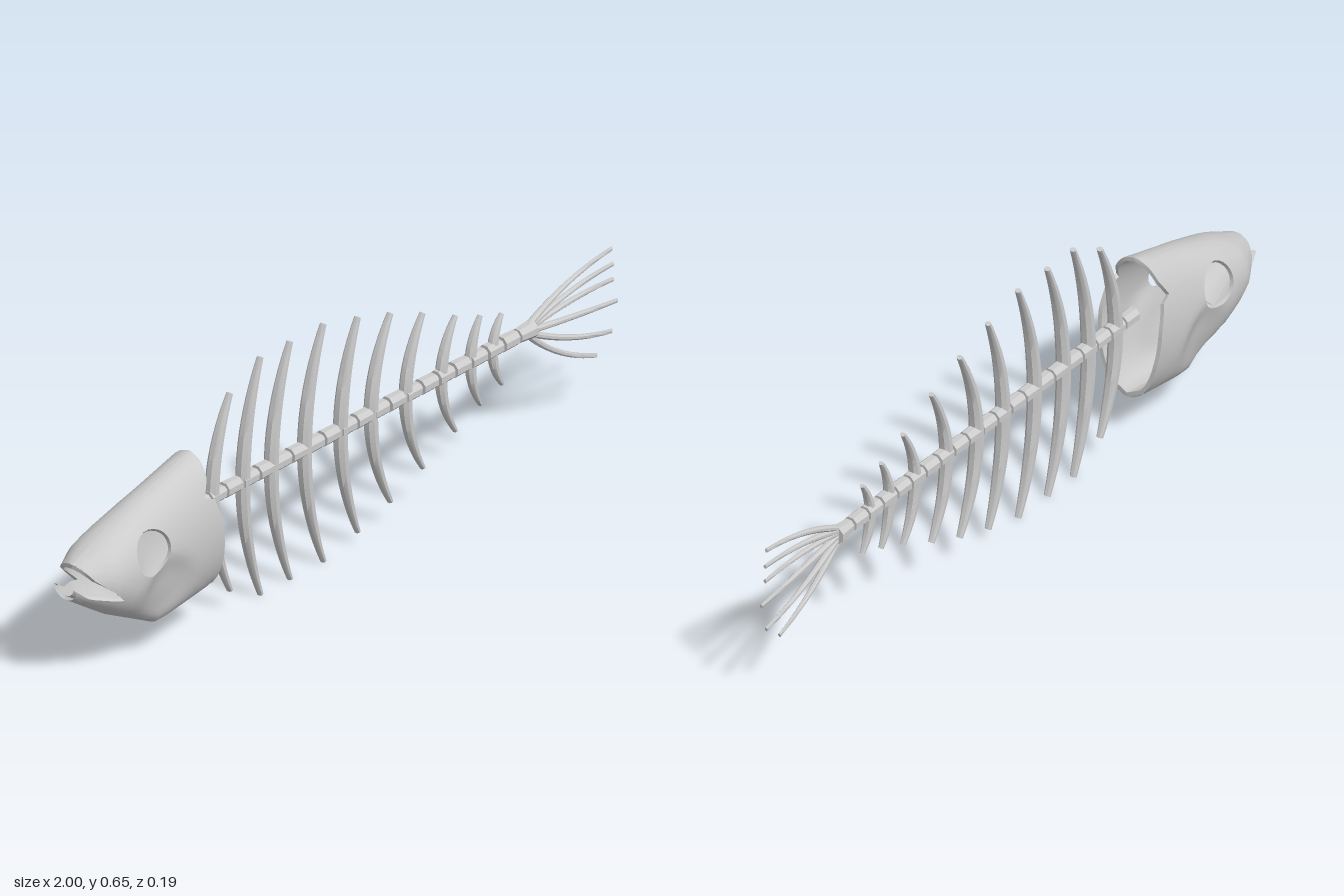
import * as THREE from 'three';
import { toCreasedNormals } from 'three/addons/utils/BufferGeometryUtils.js';

const bone = new THREE.MeshStandardMaterial({ color: 0xcccccc, side: THREE.DoubleSide });
const SPINE_Y = 0.342;

// Surface from a (rows x cols) grid of points given by a rule
function gridSurface(rows, cols, point, crease = 0.7) {
  const pos = [], index = [];
  for (let i = 0; i <= rows; i++) for (let j = 0; j <= cols; j++) pos.push(...point(i, j));
  for (let i = 0; i < rows; i++) for (let j = 0; j < cols; j++) {
    const a = i * (cols + 1) + j, b = a + cols + 1;
    index.push(a, a + 1, b + 1, a, b + 1, b);
  }
  const g = new THREE.BufferGeometry();
  g.setAttribute('position', new THREE.Float32BufferAttribute(pos, 3));
  g.setIndex(index);
  return toCreasedNormals(g, crease);
}

function part(name, geometry, parent) {
  const mesh = new THREE.Mesh(geometry, bone);
  mesh.name = name;
  parent.add(mesh);
  return mesh;
}

// Linear interpolation along a polyline of [x, value]
function along(line, x) {
  let k = 0;
  while (k < line.length - 2 && x > line[k + 1][0]) k++;
  const [a, b] = [line[k], line[k + 1]];
  return a[1] + (b[1] - a[1]) * (x - a[0]) / (b[0] - a[0]);
}

// Tapered bone swept along a flat curve, capped at both ends
function sweptBone(curve, n, width, depth) {
  const sides = 8;
  return gridSurface(n + 2, sides, (i, j) => {
    const t = THREE.MathUtils.clamp((i - 1) / n, 0, 1);
    const p = curve.getPoint(t), d = curve.getTangent(t);
    const s = i === 0 || i === n + 2 ? 0 : 1;
    const a = ((j % sides) + 0.5) / sides * Math.PI * 2;
    const w = width(t) * Math.cos(a) * s, z = depth(t) * Math.sin(a) * s;
    return [p.x - d.y * w, p.y + d.x * w, z];
  });
}

// Skull: crown line, belly line and half width along x
const crown = [[-1, 0.342], [-0.97, 0.355], [-0.87, 0.40], [-0.74, 0.445], [-0.545, 0.50], [-0.5, 0.513]];
const belly = [[-0.995, 0.27], [-0.87, 0.185], [-0.7, 0.095], [-0.513, 0.12]];
const girth = [[-1, 0.035], [-0.96, 0.055], [-0.9, 0.086], [-0.83, 0.095], [-0.5, 0.095]];
const WALL = 0.011;

// Put a side-view point onto the outer or inner skull wall
function skullPoint(x, y, inner, side) {
  const top = along(crown, x), low = along(belly, x), w = along(girth, x);
  const mid = (top + low) / 2, half = (top - low) / 2;
  const s = (y - mid) / half;
  let z = w * Math.pow(Math.max(0, 1 - s * s), 0.47);
  // hollow of the cheek in front of the gill cover
  const dx = (x + 0.715) / 0.075, dy = (y - 0.215) / 0.08;
  z -= Math.min(z * 0.4, 0.02 * Math.exp(-((dx * dx + dy * dy) ** 2)));
  if (inner) {
    y = mid + (y - mid) * (1 - WALL / half);
    z *= 1 - WALL / w;
  }
  return [x, y, z * side];
}

// Double-walled sheet: out along the outer wall, back along the inner one, closed
function skullSheet(rows, cols, at, side) {
  return gridSurface(rows, 2 * cols + 2, (i, j) => {
    const inner = j > cols && j < 2 * cols + 2;
    const c = j <= cols ? j : inner ? 2 * cols + 1 - j : 0;
    const [x, y] = at(i / rows, c / cols);
    return skullPoint(x, y, inner, side);
  });
}

function makeHead() {
  const head = new THREE.Group();
  head.name = 'head';
  // Side outline, star-shaped around the eye socket
  const eye = [-0.77, 0.337], eyeR = 0.058, steps = 5;
  const outline = [
    [-0.97, 0.355], [-0.87, 0.40], [-0.74, 0.445], [-0.545, 0.50], [-0.555, 0.45], [-0.578, 0.41],
    [-0.548, 0.398], [-0.528, 0.33], [-0.516, 0.23], [-0.513, 0.12], [-0.7, 0.095], [-0.87, 0.185],
    [-0.87, 0.245], [-0.90, 0.277], [-0.95, 0.322],
  ];
  const rows = outline.length * steps;
  const skullAt = (u, v) => {
    const k = Math.round(u * rows) % rows, e = Math.floor(k / steps), f = (k % steps) / steps;
    const a = outline[e], b = outline[(e + 1) % outline.length];
    const dx = a[0] + (b[0] - a[0]) * f - eye[0], dy = a[1] + (b[1] - a[1]) * f - eye[1];
    const r = Math.hypot(dx, dy), t = Math.sin(v * Math.PI / 2);
    const m = (eyeR + (r - eyeR) * t) / r;
    return [eye[0] + dx * m, eye[1] + dy * m];
  };
  // Lower jaw jutting out under the mouth
  const lip = [[-0.995, 0.302], [-0.96, 0.272], [-0.87, 0.245]];
  const jawAt = (u, v) => {
    const x = -0.995 + 0.125 * u, a = along(lip, x), b = along(belly, x);
    return [x, a + (b - a) * Math.sin(v * Math.PI / 2)];
  };
  for (const [label, side] of [['left', 1], ['right', -1]]) {
    // the sides of the head lie on +z and -z
    part(label + 'Skull', skullSheet(rows, 12, skullAt, side), head);
    part(label + 'Jaw', skullSheet(8, 8, jawAt, side), head);
  }
  return head;
}

function makeSpine() {
  const spine = new THREE.Group();
  spine.name = 'spine';
  const rod = (name, x0, x1, r0, r1) => {
    const g = new THREE.CylinderGeometry(r1, r0, x1 - x0, 8).rotateY(Math.PI / 8).rotateZ(-Math.PI / 2);
    part(name, toCreasedNormals(g, 0.7), spine).position.set((x0 + x1) / 2, SPINE_Y, 0);
  };
  rod('spinalCord', -0.54, 0.66, 0.013, 0.011);
  const count = 20, pitch = 1.18 / count;
  for (let i = 0; i < count; i++) {
    const x = -0.54 + i * pitch;
    rod('vertebra', x, x + pitch - 0.009, 0.021, 0.02);
  }
  rod('tailVertebra', 0.638, 0.692, 0.019, 0.024);
  return spine;
}

function makeRibs() {
  const ribs = new THREE.Group();
  ribs.name = 'ribs';
  // x at the spine, x at the tips, half height
  const rows = [
    [-0.465, -0.40, 0.27], [-0.353, -0.29, 0.325], [-0.25, -0.183, 0.325], [-0.13, -0.062, 0.325],
    [0, 0.062, 0.294], [0.11, 0.18, 0.258], [0.235, 0.297, 0.212], [0.364, 0.415, 0.158],
    [0.47, 0.505, 0.122], [0.55, 0.583, 0.097],
  ];
  for (const [x, tip, h] of rows) {
    const size = 0.6 + 0.4 * Math.min(1, h / 0.27);
    const curve = new THREE.QuadraticBezierCurve(
      new THREE.Vector2(tip, SPINE_Y - 0.012 - h),
      new THREE.Vector2(2 * x - tip, SPINE_Y - 0.008),
      new THREE.Vector2(tip, SPINE_Y - 0.012 + h));
    const taper = (t) => 1 - Math.abs(2 * t - 1) ** 2;
    part('rib', sweptBone(curve, 20,
      (t) => size * (0.007 + 0.01 * taper(t)), (t) => size * (0.009 + 0.011 * taper(t))), ribs);
  }
  return ribs;
}

function makeTail() {
  const tail = new THREE.Group();
  tail.name = 'tail';
  // tip, then the point each ray passes halfway
  const rays = [
    [0.98, 0.446, 0.82, 0.415], [0.985, 0.402, 0.83, 0.388], [0.985, 0.36, 0.83, 0.362],
    [1.0, 0.296, 0.84, 0.315], [0.98, 0.22, 0.83, 0.262], [0.925, 0.175, 0.79, 0.238],
  ];
  rays.forEach(([x, y, mx, my], i) => {
    const a = new THREE.Vector2(0.675, 0.352 - i * 0.004), b = new THREE.Vector2(x, y);
    const c = new THREE.Vector2(2 * mx - (a.x + x) / 2, 2 * my - (a.y + y) / 2);
    part('tailRay', sweptBone(new THREE.QuadraticBezierCurve(a, c, b), 12,
      (t) => 0.009 - 0.003 * t, (t) => 0.01 - 0.006 * t), tail);
  });
  return tail;
}

export function createModel() {
  const model = new THREE.Group();
  model.name = 'fishSkeleton';
  model.add(makeHead(), makeSpine(), makeRibs(), makeTail());
  return model;
}
